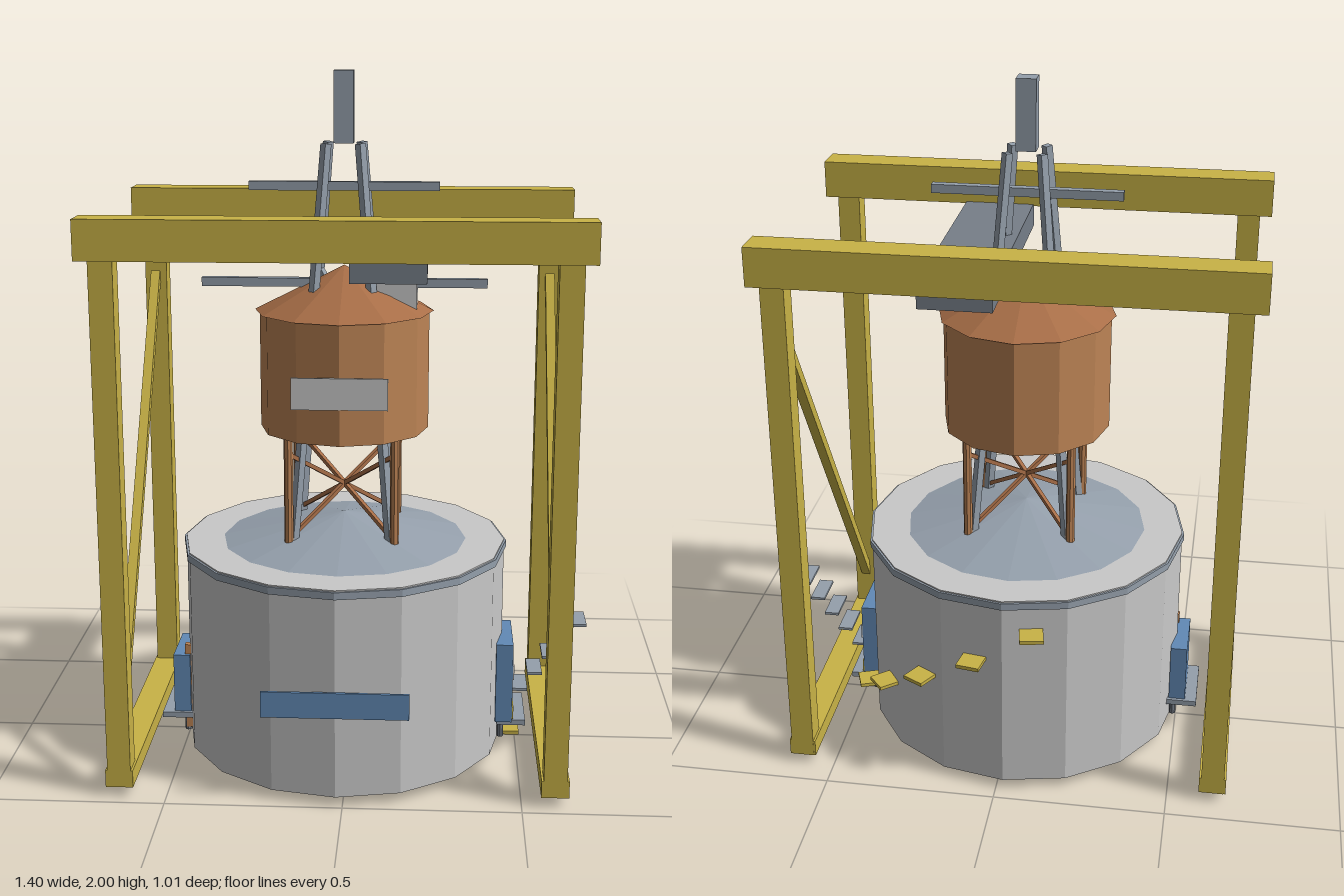
import * as THREE from 'three';

export function createModel() {
  const model = new THREE.Group();
  const mat = (name, color) => {
    const m = new THREE.MeshStandardMaterial({ color, flatShading: true });
    m.name = name;
    return m;
  };
  const yellow = mat('gantryYellow', 0xc9b347);
  const pale = mat('paleGrey', 0xc9c9c9);
  const copper = mat('copper', 0xbd8455);
  const roofCopper = mat('roofCopper', 0xa96f48);
  const steel = mat('steel', 0x95a0ac);
  const darkSteel = mat('darkSteel', 0x777f89);
  const blue = mat('blue', 0x628ab6);
  const red = mat('red', 0xa04a3c);

  const CX = -0.02, CZ = 0.02; // shared axis of the tanks and mast

  function add(name, geo, material, x = 0, y = 0, z = 0) {
    const mesh = new THREE.Mesh(geo, material);
    mesh.name = name;
    mesh.position.set(x, y, z);
    model.add(mesh);
    return mesh;
  }
  // Box given by its extents along each axis
  function block(name, material, x0, x1, y0, y1, z0, z1) {
    return add(name, new THREE.BoxGeometry(x1 - x0, y1 - y0, z1 - z0), material,
      (x0 + x1) / 2, (y0 + y1) / 2, (z0 + z1) / 2);
  }
  // Square bar between two points
  function bar(name, material, a, b, size) {
    const p = new THREE.Vector3(...a), q = new THREE.Vector3(...b);
    const mesh = add(name, new THREE.BoxGeometry(size, size, p.distanceTo(q)), material);
    mesh.position.copy(p).add(q).multiplyScalar(0.5);
    mesh.lookAt(q);
    return mesh;
  }
  // Upright faceted cylinder or cone on the shared axis
  function drum(name, material, rTop, rBottom, y0, y1, sides) {
    return add(name, new THREE.CylinderGeometry(rTop, rBottom, y1 - y0, sides), material,
      CX, (y0 + y1) / 2, CZ);
  }

  // Large lower tank
  drum('lowerTank', pale, 0.474, 0.474, 0.03, 0.64, 16);
  drum('lowerTankLip', steel, 0.48, 0.48, 0.615, 0.636, 16);
  drum('lowerTankRoof', steel, 0, 0.36, 0.64, 0.72, 16);
  block('frontPanel', blue, -0.225, 0.185, 0.27, 0.345, 0.494, 0.502);

  // Small marks under the tank
  const keel = block('undersidePlate', darkSteel, -0.03, 0.07, 0.008, 0.016, -0.03, 0.05);
  keel.rotation.z = -0.14;
  block('undersideMark', red, -0.01, 0.2, 0.024, 0.03, -0.09, -0.05);

  // Copper upper tank on four legs with crossed braces
  drum('upperTank', copper, 0.245, 0.245, 0.98, 1.325, 12);
  drum('upperTankRoof', roofCopper, 0, 0.258, 1.325, 1.455, 12);
  block('upperTankPlate', pale, -0.155, 0.115, 1.085, 1.175, 0.26, 0.268);
  for (const sx of [-1, 1]) for (const sz of [-1, 1]) {
    add('upperTankLeg', new THREE.CylinderGeometry(0.013, 0.013, 0.33, 8), copper,
      CX + sx * 0.152, 0.83, CZ + sz * 0.152);
    bar('legBrace', roofCopper,
      [CX + sx * 0.15, 0.68, CZ + sz * 0.15], [CX - sx * 0.15, 0.93, CZ - sz * 0.15], 0.012);
    // Mast legs lean inward toward the head
    bar('mastLeg', steel,
      [CX + sx * 0.14, 0.66, CZ + sz * 0.14], [CX + sx * 0.048, 1.8, CZ + sz * 0.048], 0.022);
  }
  block('mastHead', steel, CX - 0.028, CX + 0.028, 1.8, 2, CZ - 0.028, CZ + 0.028);
  block('upperCrossbar', steel, -0.29, 0.25, 1.667, 1.692, 0.008, 0.033);
  block('lowerCrossbar', steel, -0.43, 0.39, 1.392, 1.417, 0.008, 0.033);
  bar('strut', steel, [-0.155, 1.53, -0.118], [-0.08, 1.41, -0.043], 0.015);

  // Gantry: girders, columns, sills and diagonals
  for (const z of [0.432, -0.39]) {
    block('girder', yellow, -0.7, 0.66, 1.525, 1.635, z - 0.048, z + 0.048);
    for (const x of [-0.632, 0.593]) {
      block('column', yellow, x - 0.033, x + 0.033, 0.03, 1.53, z - 0.033, z + 0.033);
    }
  }
  for (const x of [-0.632, 0.593]) {
    block('sill', yellow, x - 0.039, x + 0.039, 0.03, 0.08, -0.422, 0.465);
    bar('diagonal', yellow, [x, 0.19, 0.41], [x, 1.37, -0.36], 0.028);
  }

  // Bridge with hanging hoist
  block('bridge', darkSteel, 0.015, 0.22, 1.46, 1.53, -0.36, 0.4);
  block('hoist', pale, 0.065, 0.19, 1.335, 1.46, -0.045, 0.095);

  // Side doors on small landings
  block('rightDoor', blue, -0.53, -0.48, 0.1, 0.285, -0.07, 0.11);
  block('rightLanding', steel, -0.565, -0.47, 0.088, 0.105, -0.08, 0.12);
  block('leftDoor', blue, 0.435, 0.485, 0.1, 0.345, -0.078, 0.127);
  block('leftDoorPanel', pale, 0.48, 0.489, 0.235, 0.28, -0.078, 0.127);
  block('leftDoorStripe', yellow, 0.48, 0.489, 0.11, 0.15, -0.078, 0.127);
  block('leftDoorHandle', copper, 0.48, 0.489, 0.175, 0.195, 0, 0.04);
  block('leftLanding', steel, 0.44, 0.525, 0.088, 0.105, -0.08, 0.12);
  block('sidePipe', copper, -0.496, -0.478, 0.05, 0.315, 0.08, 0.1);
  for (const x of [-0.492, 0.452]) for (const z of [-0.05, 0.09]) {
    add('landingFoot', new THREE.CylinderGeometry(0.01, 0.01, 0.05, 8), darkSteel, x, 0.065, z);
  }

  // Straight flight of thin treads
  for (let i = 0; i < 5; i++) {
    const x = 0.51 + i * 0.0425, y = 0.182 + i * 0.052;
    block('straightTread', steel, x - 0.022, x + 0.022, y - 0.004, y + 0.004, -0.035, 0.073);
  }

  // Treads spiralling around the back of the lower tank
  for (let i = 0; i < 6; i++) {
    const a = i * Math.PI / 9;
    const tread = add('spiralTread', new THREE.BoxGeometry(0.065, 0.011, 0.068), yellow,
      CX + Math.cos(a) * 0.498, 0.032 + i * 0.1025, CZ - Math.sin(a) * 0.498);
    tread.rotation.y = a;
  }

  // Recentre and stand on the ground
  const box = new THREE.Box3().setFromObject(model);
  for (const part of model.children) part.position.y -= box.min.y;
  return model;
}
